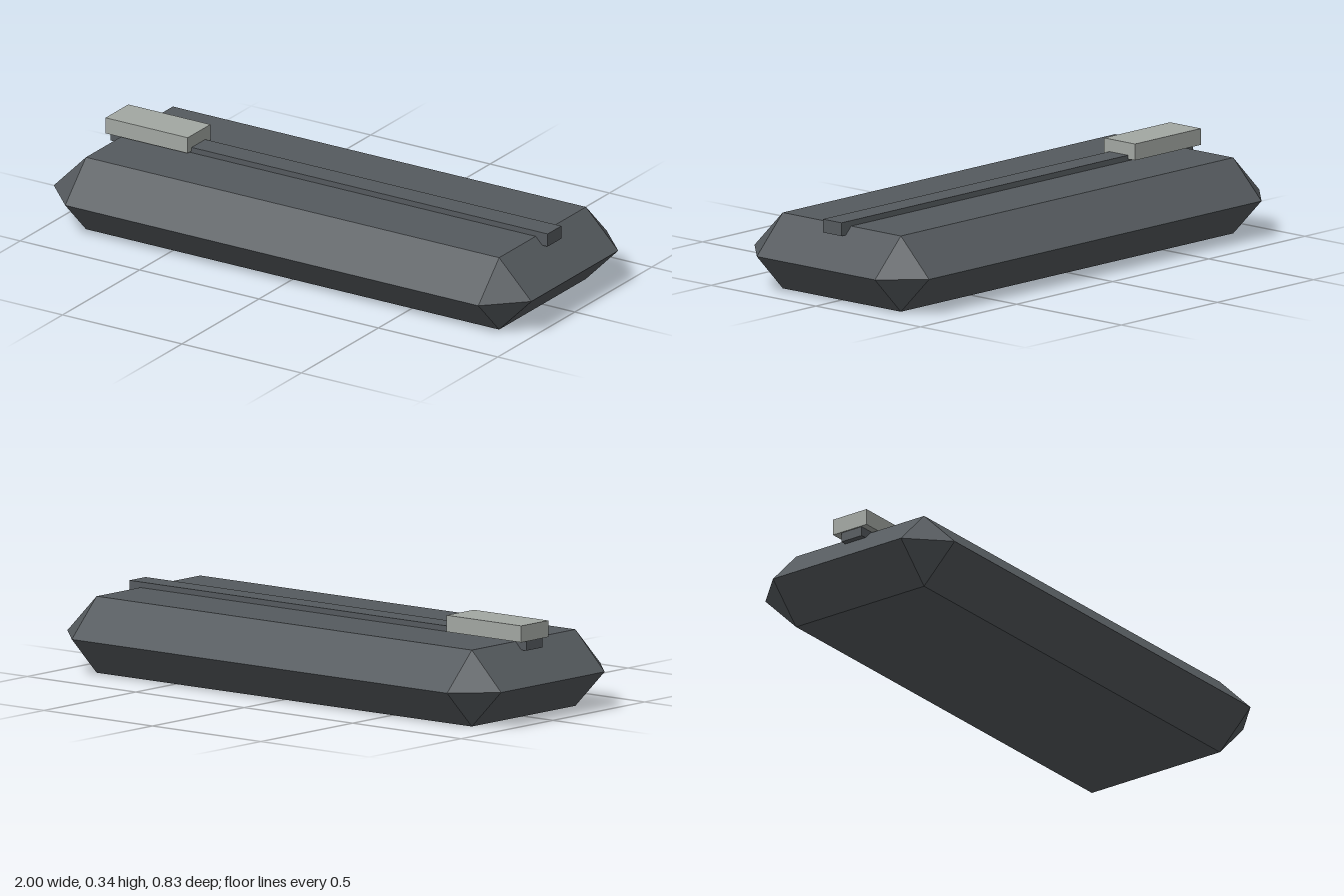
import * as THREE from 'three';
import { ConvexGeometry } from 'three/addons/geometries/ConvexGeometry.js';

export function createModel() {
  const model = new THREE.Group();
  model.name = 'bevelledSlab';

  const darkGrey = new THREE.MeshStandardMaterial({ name: 'darkGrey', color: 0x555a5e });
  const paleGrey = new THREE.MeshStandardMaterial({ name: 'paleGrey', color: 0xa2a7a2 });

  const add = (name, geometry, material, x = 0, y = 0, z = 0) => {
    const mesh = new THREE.Mesh(geometry, material);
    mesh.name = name;
    mesh.position.set(x, y, z);
    model.add(mesh);
  };

  // Body: flat top and bottom, wide bevels meeting in a ridge at mid height
  const height = 0.273, innerX = 0.865, innerZ = 0.282, outerX = 1, outerZ = 0.417;
  const points = [];
  for (const sx of [-1, 1]) {
    for (const sz of [-1, 1]) {
      points.push(
        new THREE.Vector3(sx * innerX, 0, sz * innerZ),
        new THREE.Vector3(sx * innerX, height, sz * innerZ),
        new THREE.Vector3(sx * outerX, height / 2, sz * innerZ),
        new THREE.Vector3(sx * innerX, height / 2, sz * outerZ),
      );
    }
  }
  add('body', new ConvexGeometry(points), darkGrey);

  // Rail along the top, overhanging both end bevels
  add('rail', new THREE.BoxGeometry(1.83, 0.048, 0.089), darkGrey, 0, 0.269, 0);

  // Pale block on one end of the rail
  add('railBlock', new THREE.BoxGeometry(0.344, 0.059, 0.148), paleGrey, -0.748, 0.309, -0.004);

  return model;
}
